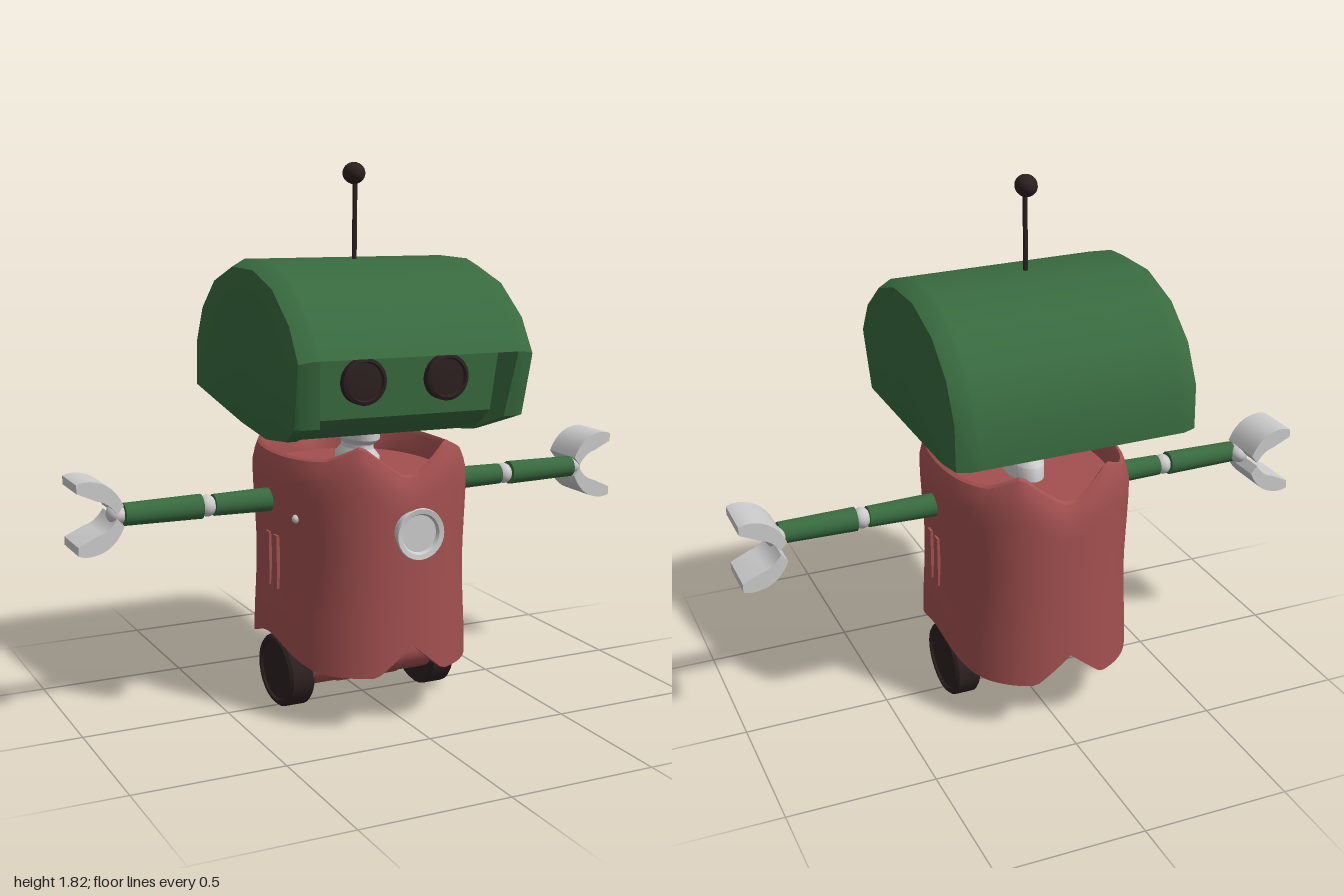
import * as THREE from 'three';
import { toCreasedNormals } from 'three/addons/utils/BufferGeometryUtils.js';

const paint = (color) => new THREE.MeshStandardMaterial({ color });
const GREEN = paint(0x386a3f), RED = paint(0xa35050), DARK = paint(0x2c2020), GREY = paint(0xcccccc);
const V = (x, y, z) => new THREE.Vector3(x, y, z);
const clamp01 = (v) => Math.min(1, Math.max(0, v));

function add(parent, name, geometry, material, x = 0, y = 0, z = 0) {
  const mesh = new THREE.Mesh(geometry, material);
  mesh.name = name;
  mesh.position.set(x, y, z);
  parent.add(mesh);
  return mesh;
}

// Skin a list of closed rings that all have the same number of points
function loft(rings, crease) {
  const n = rings[0].length, pos = [], index = [];
  rings.forEach((ring) => ring.forEach((p) => pos.push(p.x, p.y, p.z)));
  for (let i = 0; i < rings.length - 1; i++) {
    for (let j = 0; j < n; j++) {
      const a = i * n + j, b = i * n + (j + 1) % n;
      index.push(a, b, b + n, a, b + n, a + n);
    }
  }
  const g = new THREE.BufferGeometry();
  g.setAttribute('position', new THREE.Float32BufferAttribute(pos, 3));
  g.setIndex(index);
  return toCreasedNormals(g, crease);
}

// Piecewise linear lookup through [input, output] pairs
function lerpTable(table, u) {
  for (let i = 1; i < table.length; i++) {
    const [u0, v0] = table[i - 1], [u1, v1] = table[i];
    if (u <= u1) return v0 + (v1 - v0) * (u - u0) / (u1 - u0);
  }
  return table[table.length - 1][1];
}

// Torso: rounded oblong section, peaked rim, notched and arched hem, shallow underside
function torsoGeometry() {
  const A = 0.33, B = 0.41, N = 96, E = 2.35, loop = [];
  for (let i = 0; i < N; i++) {
    const t = i / N * Math.PI * 2, c = Math.cos(t), s = Math.sin(t);
    const r = Math.pow(Math.abs(c) ** E + Math.abs(s) ** E, -1 / E);
    const u = Math.abs(c * r), w = Math.abs(s * r);
    const top = lerpTable([[0, 0.845], [0.08, 0.847], [0.3, 0.895], [0.5, 0.945], [0.62, 0.925], [0.78, 0.895], [1, 0.885]], u);
    const arch = clamp01(1 - w / 0.75);
    const bottom = 0.19 + 0.1 * clamp01(1 - u / 0.36) + 0.075 * arch * arch * (3 - 2 * arch);
    loop.push({ x: c * r * A, z: s * r * B, top, bottom });
  }
  const ring = (scale, y) => loop.map((p) => V(p.x * scale, y(p), p.z * scale));
  const rings = [
    ring(0, () => 0.8), ring(0.86, () => 0.8), ring(0.88, (p) => p.top - 0.015),
    ring(0.91, (p) => p.top), ring(0.945, (p) => p.top - 0.006), ring(0.975, (p) => p.top - 0.035),
  ];
  for (let k = 0; k <= 10; k++) {
    const f = k / 10;
    const waist = 1 - 0.04 * Math.sin(Math.PI * f) ** 2;
    rings.push(loop.map((p) => V(p.x * waist, p.top - 0.075 + (p.bottom - p.top + 0.075) * f, p.z)));
  }
  rings.push(ring(0.93, (p) => p.bottom + 0.003), ring(0.85, () => 0.29), ring(0, () => 0.29));
  return loft(rings, 0.7);
}

// Domed head: one side profile swept along x, with bevelled ends and a recessed face
function headGeometry() {
  const profile = [ // [z, y]
    [0.463, 1.235], [0.46, 1.22], [0.417, 1.02], [0.22, 0.948], [0, 0.92], [-0.16, 0.955], [-0.31, 1.02],
    [-0.457, 1.05], [-0.457, 1.208], [-0.394, 1.34], [-0.273, 1.446], [-0.1, 1.507],
    [0.085, 1.507], [0.25, 1.456], [0.39, 1.35],
  ];
  const inset = { 1: [0.345, 1.235], 2: [0.33, 1.03], 3: [0.25, 0.96] };
  const half = (y) => 0.41 - 0.08 * clamp01((1.03 - y) / 0.11);
  const bevel = (y) => (y < 1.03 ? 0.022 : 0.045);
  const inner = (y) => Math.min(half(y) - bevel(y) - 0.01, y < 1.1 ? 0.325 : 0.345);
  const end = (s) => profile.map(([z, y]) => V(s * half(y), y > 1.06 ? 1.06 + (y - 1.06) * 0.945 : y, z * 0.96));
  const full = (s) => profile.map(([z, y]) => V(s * (half(y) - bevel(y)), y, z));
  const wing = (s) => profile.map(([z, y]) => V(s * inner(y), y, z));
  const face = (s) => profile.map(([z, y], i) => {
    const [fz, fy] = inset[i] || [z, y];
    return V(s * inner(y), fy, fz);
  });
  const tip = (s) => profile.map(() => V(s * 0.41, 1.2, 0));
  return loft([tip(-1), end(-1), full(-1), wing(-1), face(-1), face(1), wing(1), full(1), end(1), tip(1)], 0.7);
}

const lathe = (points, segments = 32) => toCreasedNormals(
  new THREE.LatheGeometry(points.map(([r, y]) => new THREE.Vector2(r, y)), segments), 0.6);

// One curved gripper finger, thick in the middle and tapered at the tip
function fingerGeometry() {
  const s = new THREE.Shape();
  s.moveTo(0.866, 0.006);
  s.quadraticCurveTo(0.89, 0.048, 0.93, 0.056);
  s.lineTo(0.995, 0.086);
  s.lineTo(0.995, 0.114);
  s.quadraticCurveTo(0.97, 0.125, 0.94, 0.119);
  s.quadraticCurveTo(0.875, 0.108, 0.844, 0.034);
  s.closePath();
  const g = new THREE.ExtrudeGeometry(s, { depth: 0.165, bevelEnabled: false, curveSegments: 6 });
  g.translate(0, 0, -0.0825);
  return toCreasedNormals(g, 0.5);
}

function buildArm(side) {
  const arm = new THREE.Group();
  arm.name = side > 0 ? 'leftArm' : 'rightArm';
  const tube = (name, x0, x1, r0, r1) => {
    const g = new THREE.CylinderGeometry(r1, r0, x1 - x0, 20);
    g.rotateZ(-Math.PI / 2);
    add(arm, name, g, GREEN, (x0 + x1) / 2);
  };
  tube('upperArm', 0.28, 0.535, 0.041, 0.036);
  tube('forearm', 0.578, 0.838, 0.041, 0.037);
  add(arm, 'elbow', new THREE.SphereGeometry(0.036, 20, 14), GREY, 0.557).scale.x = 0.85;
  add(arm, 'wrist', new THREE.SphereGeometry(0.034, 20, 14), GREY, 0.855, 0, -side * 0.02).scale.z = 1.3;
  const finger = fingerGeometry();
  for (const turn of [0, Math.PI]) {
    add(arm, 'finger', finger, GREY, 0, 0, -side * 0.056).rotation.x = turn;
  }
  arm.rotation.y = side > 0 ? 0 : Math.PI;
  arm.position.set(side > 0 ? 0.005 : -0.005, side > 0 ? 0.727 : 0.722, 0);
  return arm;
}

export function createModel() {
  const model = new THREE.Group();
  model.name = 'robot';
  const core = new THREE.Group();
  core.name = 'core';
  core.position.x = -0.018;
  model.add(core);

  add(core, 'torso', torsoGeometry(), RED);

  // Head, eyes and antenna, tilted very slightly
  const head = new THREE.Group();
  head.name = 'head';
  head.rotation.z = -0.012;
  head.position.x = -0.0144;
  core.add(head);
  add(head, 'headShell', headGeometry(), GREEN);
  for (const s of [-1, 1]) {
    const eye = lathe([[0, -0.02], [0.075, -0.02], [0.075, 0.02], [0.064, 0.025], [0.06, 0.014], [0, 0.02]]);
    add(head, 'eye', eye, DARK, s * 0.147, 1.15, 0.345).rotation.x = Math.PI / 2;
  }
  add(head, 'antennaRod', new THREE.CylinderGeometry(0.008, 0.008, 0.3, 10), DARK, -0.014, 1.63, 0);
  add(head, 'antennaBall', new THREE.SphereGeometry(0.036, 20, 14), DARK, -0.016, 1.787, -0.005).scale.z = 1.25;

  // Neck, pinched in the middle
  const neck = lathe([[0, 0.78], [0.062, 0.78], [0.062, 0.85], [0.045, 0.875], [0.045, 0.89], [0.062, 0.91], [0.062, 0.95], [0, 0.95]]);
  add(core, 'neck', neck, GREY).scale.z = 1.9;

  // Flared chest lamp
  const lamp = lathe([[0, 0], [0.066, 0], [0.064, 0.025], [0.084, 0.06], [0.082, 0.067], [0.066, 0.064], [0.06, 0.052], [0, 0.052]]);
  add(core, 'chestLamp', lamp, GREY, 0, 0.67, 0.398).rotation.x = Math.PI / 2;

  // Side vents and buttons, arms, wheels
  for (const s of [-1, 1]) {
    for (const z of [0.05, -0.015]) {
      add(core, 'vent', new THREE.BoxGeometry(0.02, 0.18, 0.03), RED, s * 0.317, 0.52, z);
    }
    add(core, 'sideButton', new THREE.SphereGeometry(0.015, 12, 8), GREY, s * 0.303, s > 0 ? 0.61 : 0.69, 0.175);

    model.add(buildArm(s));

    const wheel = lathe([[0, -0.045], [0.112, -0.045], [0.121, -0.035], [0.121, 0.035], [0.112, 0.045], [0.1, 0.045], [0.096, 0.038], [0, 0.038]], 28);
    const mesh = add(core, 'wheel', wheel, DARK, s * 0.265, 0.122, -0.008);
    mesh.rotation.z = -s * Math.PI / 2;
    mesh.scale.z = 1.2;
  }

  // Axle housing with a wider middle sleeve
  for (const [name, r, length] of [['axle', 0.104, 0.46], ['axleSleeve', 0.108, 0.21]]) {
    const g = new THREE.CylinderGeometry(r, r, length, 28);
    g.rotateZ(Math.PI / 2);
    add(core, name, g, RED, 0, 0.174, 0).scale.z = 1.42;
  }
  return model;
}
